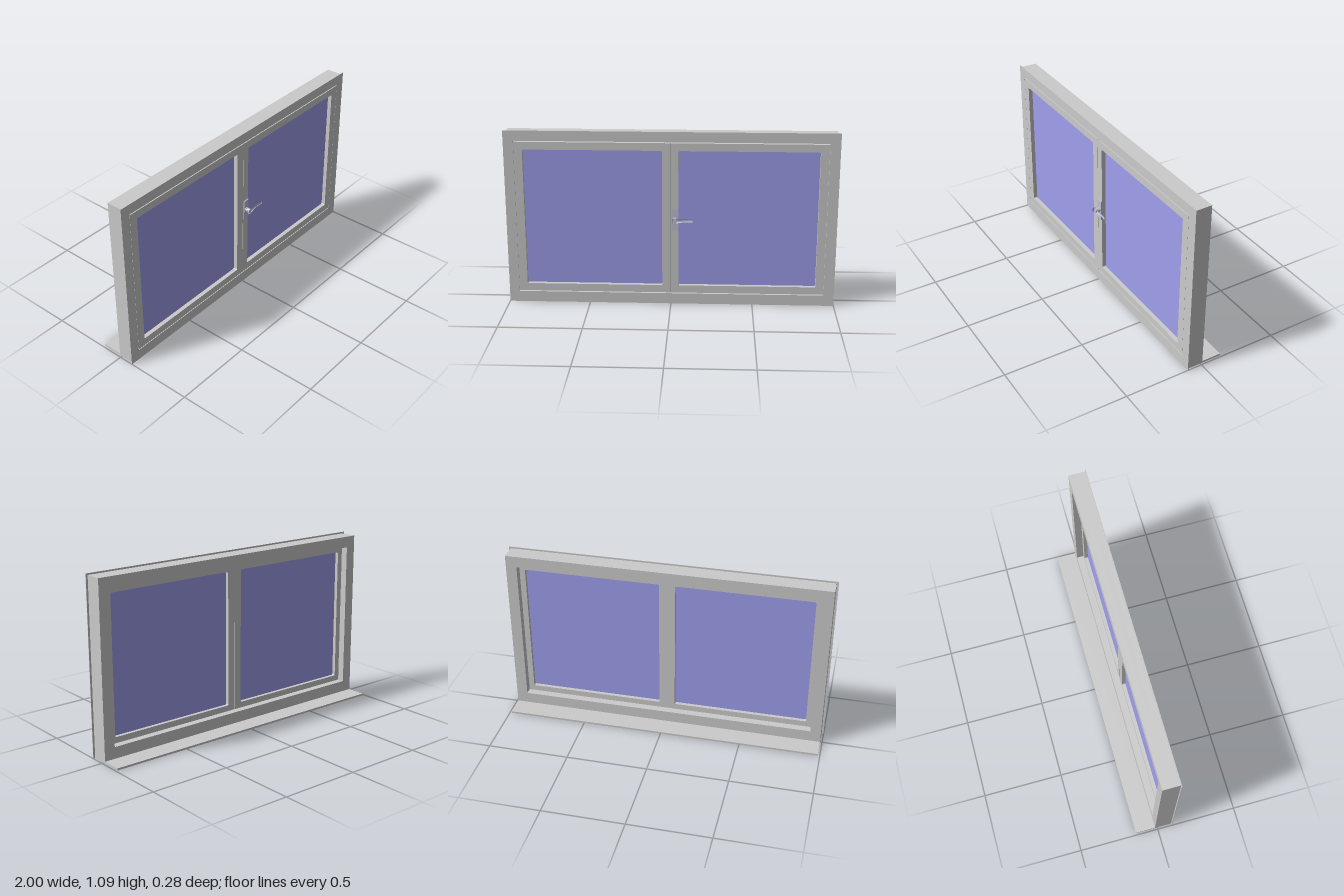
import * as THREE from 'three';

const grey = new THREE.MeshStandardMaterial({ color: 0xcccccc });
const blue = new THREE.MeshStandardMaterial({ color: 0x9f9fef });
const metal = new THREE.MeshStandardMaterial({ color: 0xc0c0d8 });

function add(parent, name, geometry, material = grey) {
  const mesh = new THREE.Mesh(geometry, material);
  mesh.name = name;
  parent.add(mesh);
  return mesh;
}

// Rectangle outline with optional rounded corners
function rect(Type, [x0, x1, y0, y1], r = 0) {
  const p = new Type();
  if (!r) {
    p.moveTo(x0, y0).lineTo(x1, y0).lineTo(x1, y1).lineTo(x0, y1).closePath();
    return p;
  }
  p.absarc(x1 - r, y0 + r, r, -Math.PI / 2, 0);
  p.absarc(x1 - r, y1 - r, r, 0, Math.PI / 2);
  p.absarc(x0 + r, y1 - r, r, Math.PI / 2, Math.PI);
  p.absarc(x0 + r, y0 + r, r, Math.PI, Math.PI * 1.5);
  p.closePath();
  return p;
}

// Rectangular ring from z0 to z1
function ring(outer, inner, z0, z1, r = 0) {
  const shape = rect(THREE.Shape, outer);
  shape.holes.push(rect(THREE.Path, inner, r));
  const g = new THREE.ExtrudeGeometry(shape, { depth: z1 - z0, bevelEnabled: false, curveSegments: 4 });
  return g.translate(0, 0, z0);
}

function box(x0, x1, y0, y1, z0, z1) {
  return new THREE.BoxGeometry(x1 - x0, y1 - y0, z1 - z0)
    .translate((x0 + x1) / 2, (y0 + y1) / 2, (z0 + z1) / 2);
}

// Lever: elliptical sections lofted along a bent path
function leverGeometry() {
  const path = new THREE.CatmullRomCurve3([
    [0.01, 0.545, 0.127], [0.03, 0.545, 0.13], [0.05, 0.546, 0.128],
    [0.075, 0.547, 0.125], [0.105, 0.548, 0.125], [0.132, 0.549, 0.129],
  ].map(p => new THREE.Vector3(...p)));
  const rings = 16, sides = 12, pos = [], idx = [];
  for (let i = 0; i <= rings; i++) {
    const t = i / rings, c = path.getPoint(t);
    const ry = 0.015 - 0.006 * Math.min(1, t * 1.5);
    const rz = 0.012 - 0.009 * Math.min(1, t * 1.6);
    for (let j = 0; j < sides; j++) {
      const a = (j / sides) * Math.PI * 2;
      pos.push(c.x, c.y + ry * Math.cos(a), c.z + rz * Math.sin(a));
      if (i < rings) {
        const k = i * sides, n = (j + 1) % sides;
        idx.push(k + j, k + sides + j, k + n, k + n, k + sides + j, k + sides + n);
      }
    }
  }
  // End caps
  for (let j = 1; j < sides - 1; j++) {
    const e = rings * sides;
    idx.push(0, j, j + 1, e, e + j + 1, e + j);
  }
  // Point every face outward
  const g = new THREE.BufferGeometry();
  g.setAttribute('position', new THREE.Float32BufferAttribute(pos, 3));
  g.setIndex(idx);
  g.computeVertexNormals();
  return g;
}

export function createModel() {
  const model = new THREE.Group();
  model.name = 'window';

  // Fixed frame: back lip, rebated front and thin covering flange
  const frame = new THREE.Group();
  frame.name = 'frame';
  model.add(frame);
  const body = [-0.988, 0.988, 0, 1.075];
  const rebate = [-0.939, 0.937, 0.067, 1.023];
  add(frame, 'frameBackLip', ring(body, [-0.922, 0.92, 0.083, 1.005], -0.015, 0.03));
  add(frame, 'frameBody', ring(body, rebate, 0.03, 0.09));
  add(frame, 'frontFlange', ring([-1, 1, 0, 1.085], rebate, 0.09, 0.093));
  add(model, 'sill', box(-0.988, 0.988, 0, 0.012, -0.14, -0.015));

  // Two sashes with panes
  const sashes = [
    { name: 'rightSash', outer: [-0.938, -0.001, 0.073, 1.017], inner: [-0.887, -0.053, 0.12, 0.97] },
    { name: 'leftSash', outer: [0.001, 0.936, 0.073, 1.017], inner: [0.046, 0.885, 0.12, 0.97] },
  ];
  for (const { name, outer, inner } of sashes) {
    const sash = new THREE.Group();
    sash.name = name;
    model.add(sash);
    add(sash, 'sashFrame', ring(outer, inner, 0.03, 0.093, 0.008));
    const [x0, x1, y0, y1] = inner;
    add(sash, 'glass', box(x0 - 0.005, x1 + 0.005, y0 - 0.005, y1 + 0.005, 0.053, 0.067), blue);
  }

  // Handle: plate, collar, neck and lever
  const handle = new THREE.Group();
  handle.name = 'handle';
  model.add(handle);
  add(handle, 'handlePlate', box(0.004, 0.046, 0.478, 0.61, 0.092, 0.1), metal);
  const turned = (name, radius, z0, z1) => add(handle, name,
    new THREE.CylinderGeometry(radius, radius, z1 - z0, 20)
      .rotateX(Math.PI / 2).translate(0.025, 0.545, (z0 + z1) / 2), metal);
  turned('handleCollar', 0.016, 0.1, 0.106);
  turned('handleNeck', 0.013, 0.106, 0.13);
  add(handle, 'handleLever', leverGeometry(), metal);

  return model;
}
